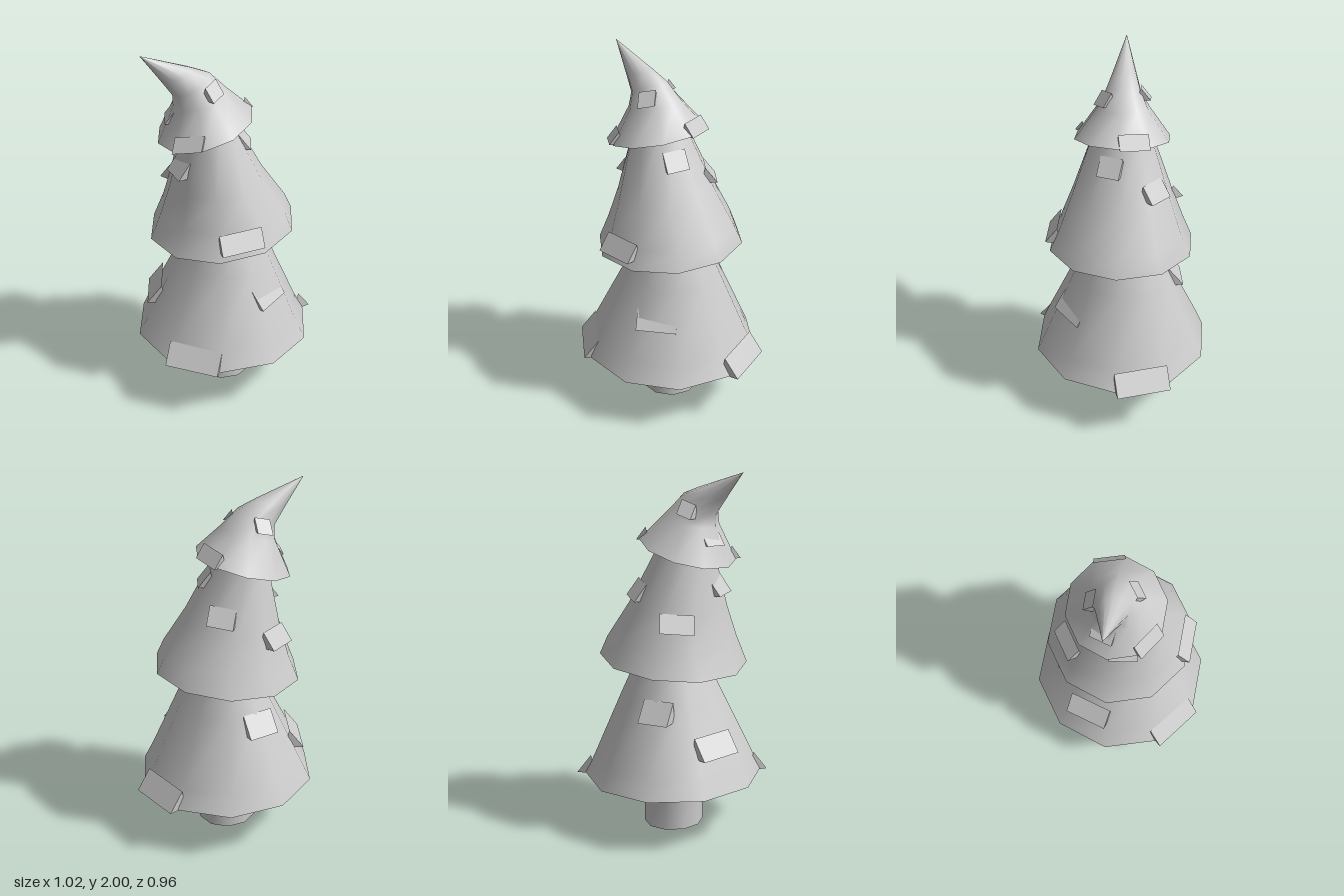
import * as THREE from 'three';

const SIDES = 10;
const MID_Z = -0.015;
const material = new THREE.MeshStandardMaterial({ color: 0xcccccc });

// A ring is [leftX, leftY, rightX, rightY, half depth]: a tilted ten-sided loop.
function ringPoints([xl, yl, xr, yr, hz]) {
  const points = [];
  for (let j = 0; j < SIDES; j++) {
    const a = (j / SIDES) * Math.PI * 2;
    const t = (1 + Math.cos(a)) / 2;
    points.push(xl + (xr - xl) * t, yl + (yr - yl) * t, MID_Z + (Math.sin(a) * hz) / 0.951);
  }
  return points;
}

function makeMesh(name, positions, index, flat) {
  let geometry = new THREE.BufferGeometry();
  geometry.setAttribute('position', new THREE.Float32BufferAttribute(positions, 3));
  geometry.setIndex(index);
  if (flat) geometry = geometry.toNonIndexed();
  geometry.computeVertexNormals();
  const mesh = new THREE.Mesh(geometry, material);
  mesh.name = name;
  return mesh;
}

// Smooth skin through the rings, from the bottom up
function skin(name, rings) {
  const index = [];
  for (let i = 0; i < rings.length - 1; i++) {
    for (let j = 0; j < SIDES; j++) {
      const a = i * SIDES + j;
      const b = i * SIDES + ((j + 1) % SIDES);
      index.push(a, a + SIDES, b, b, a + SIDES, b + SIDES);
    }
  }
  return makeMesh(name, rings.flatMap(ringPoints), index, false);
}

// Flat underside closing a ring
function underside(name, ring) {
  const [xl, yl, xr, yr] = ring;
  const index = [];
  for (let j = 0; j < SIDES; j++) index.push(SIDES, j, (j + 1) % SIDES);
  return makeMesh(name, [...ringPoints(ring), (xl + xr) / 2, (yl + yr) / 2, MID_Z], index, true);
}

// Wedge-shaped bough: its lower edge stands out, its top edge sinks into the tier.
// [x, y, z] is the middle of the lower edge; it faces along the angle from +x to +z.
function bough(name, [x, y, z, degrees, width], height, lean) {
  const angle = THREE.MathUtils.degToRad(degrees);
  const out = new THREE.Vector3(Math.cos(angle), 0, Math.sin(angle));
  const along = new THREE.Vector3(-out.z, -out.z * lean, out.x);
  const inset = height * 0.75;
  const corners = [];
  for (const [back, rise] of [[0, 0], [inset, height], [inset + 0.02, 0]]) {
    for (const side of [-0.5, 0.5]) {
      const p = new THREE.Vector3(x, y + rise, z);
      corners.push(...p.addScaledVector(along, side * width).addScaledVector(out, -back));
    }
  }
  const index = [0, 2, 1, 1, 2, 3, 0, 1, 4, 1, 5, 4, 0, 4, 2, 1, 3, 5];
  return makeMesh(name, corners, index, true);
}

// Tier of foliage; its boughs tilt with its lower rim
function tier(name, rings, boughHeight, boughs) {
  const group = new THREE.Group();
  group.name = name;
  const [xl, yl, xr, yr] = rings[0];
  const lean = (yr - yl) / (xr - xl);
  group.add(skin(name + 'Foliage', rings), underside(name + 'Underside', rings[0]));
  boughs.forEach((b, i) => group.add(bough(`${name}Bough${i + 1}`, b, boughHeight, lean)));
  return group;
}

export function createModel() {
  const model = new THREE.Group();
  model.name = 'crookedFirTree';

  // Trunk
  const trunk = new THREE.Group();
  trunk.name = 'trunk';
  const foot = [-0.19, 0.01, 0.135, 0, 0.155];
  const neck = [-0.19, 0.32, 0.135, 0.32, 0.155];
  trunk.add(skin('trunkSide', [foot, neck]), underside('trunkBase', foot));

  // Wide lower tier
  const lower = tier('lowerTier', [
    [-0.51, 0.305, 0.465, 0.29, 0.465],
    [-0.455, 0.42, 0.41, 0.4, 0.42],
    [-0.28, 0.77, 0.25, 0.78, 0.265],
    [-0.2, 0.94, 0.16, 0.98, 0.19],
  ], 0.11, [
    [0.465, 0.287, -0.175, -18, 0.3],
    [-0.322, 0.297, 0.388, 126, 0.3],
    [0.185, 0.58, 0.28, 51, 0.22],
    [-0.422, 0.5, -0.145, 196, 0.24],
    [-0.115, 0.68, -0.35, 261, 0.17],
  ]);

  // Middle tier, leaning to one side
  const middle = tier('middleTier', [
    [-0.425, 0.925, 0.375, 0.99, 0.38],
    [-0.365, 1.08, 0.335, 1.08, 0.333],
    [-0.31, 1.25, 0.2, 1.28, 0.265],
    [-0.245, 1.56, 0.02, 1.62, 0.155],
  ], 0.09, [
    [-0.025, 1.007, 0.39, 90, 0.23],
    [-0.312, 1.337, 0.055, 171, 0.15],
    [0.117, 1.452, 0.05, 18, 0.125],
    [0.102, 1.315, -0.235, -52, 0.145],
    [-0.235, 1.18, -0.292, 235, 0.18],
  ]);

  // Top tier, bent over into a pointed tip
  const top = tier('topTier', [
    [-0.37, 1.5, 0.14, 1.64, 0.248],
    [-0.285, 1.7, 0, 1.77, 0.135],
    [-0.287, 1.765, -0.09, 1.865, 0.088],
    [-0.345, 1.85, -0.185, 1.905, 0.06],
    [-0.45, 2, -0.448, 2, 0.001],
  ], 0.07, [
    [0.127, 1.628, -0.097, -16, 0.16],
    [-0.275, 1.535, 0.2, 125, 0.16],
    [-0.32, 1.615, -0.058, 195, 0.12],
    [-0.182, 1.767, -0.16, 270, 0.085],
    [-0.075, 1.77, 0.108, 52, 0.09],
  ]);

  model.add(trunk, lower, middle, top);
  return model;
}
